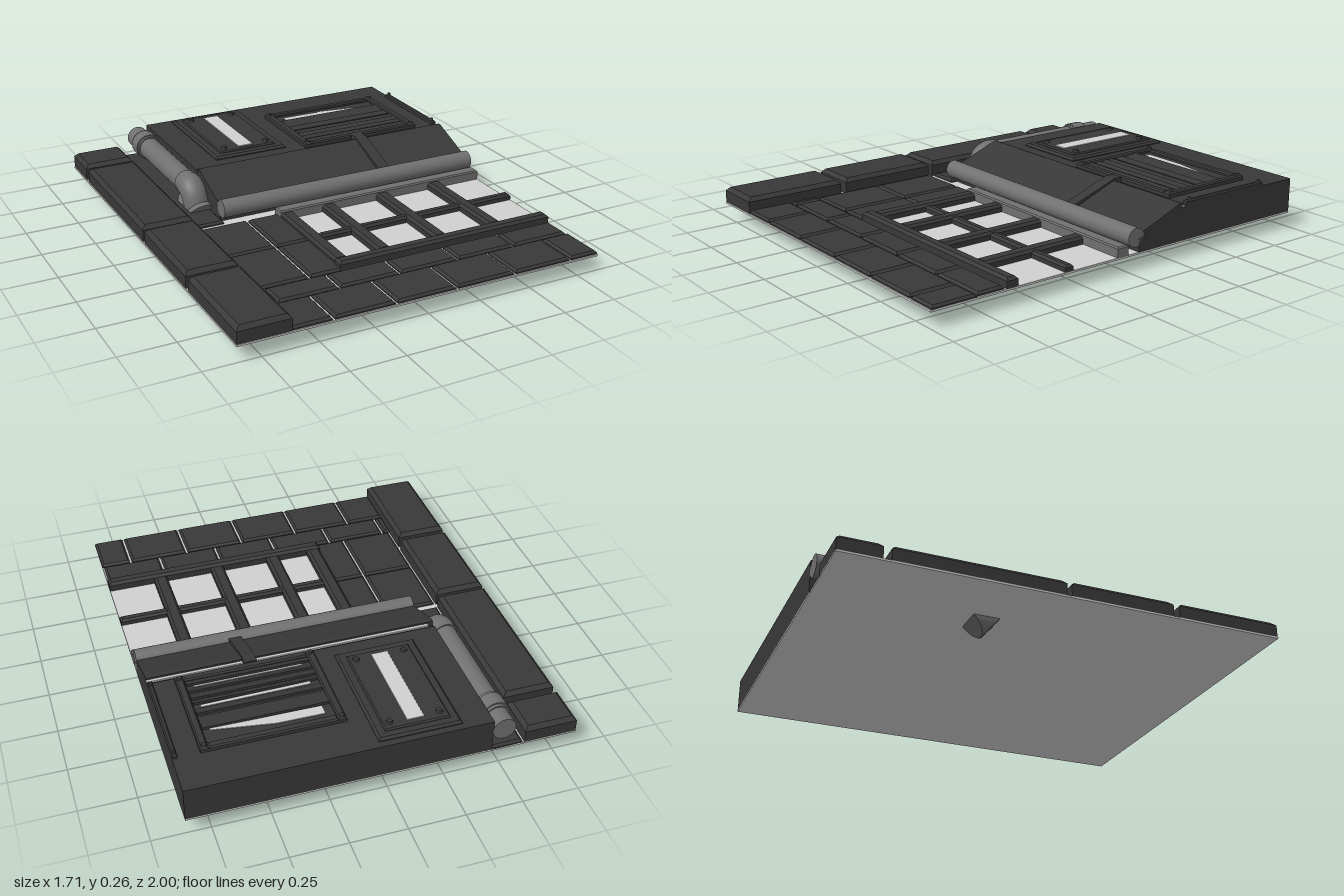
import * as THREE from 'three';

const mat = (name, color) => Object.assign(new THREE.MeshStandardMaterial({ color }), { name });

export function createModel() {
  const root = new THREE.Group();
  root.name = 'facadePanel';
  const dark = mat('darkStone', 0x383838);
  const metal = mat('pipeMetal', 0x707070);
  const pale = mat('paleBacking', 0xd0d0d0);

  const add = (name, geo, material, parent = root) => {
    const m = new THREE.Mesh(geo, material);
    m.name = name;
    parent.add(m);
    return m;
  };
  const group = (name) => {
    const g = new THREE.Group();
    g.name = name;
    root.add(g);
    return g;
  };

  // Block between two corners, with its top edge chamfered by b
  const slab = (name, x0, x1, z0, z1, y0, y1, b, material, parent) => {
    const w = x1 - x0, d = z1 - z0, h = y1 - y0;
    const box = new THREE.BoxGeometry(w, h, d, 1, 2, 1);
    const p = box.attributes.position;
    for (let i = 0; i < p.count; i++) {
      const y = p.getY(i);
      if (Math.abs(y) < 1e-6) p.setY(i, h / 2 - b);
      else if (y > 0) {
        p.setX(i, p.getX(i) - Math.sign(p.getX(i)) * b);
        p.setZ(i, p.getZ(i) - Math.sign(p.getZ(i)) * b);
      }
    }
    const geo = box.toNonIndexed();
    geo.computeVertexNormals();
    geo.translate((x0 + x1) / 2, (y0 + y1) / 2, (z0 + z1) / 2);
    return add(name, geo, material, parent);
  };

  // Side profile given as [z, y], extruded along x
  const profile = (name, pts, x0, x1, material, parent) => {
    const shape = new THREE.Shape(pts.map(([z, y]) => new THREE.Vector2(-z, y)));
    const geo = new THREE.ExtrudeGeometry(shape, { depth: x1 - x0, bevelEnabled: false });
    geo.rotateY(Math.PI / 2).translate(x0, 0, 0);
    return add(name, geo, material, parent);
  };

  // Rectangular ring lying flat
  const ring = (name, x0, x1, z0, z1, t, y0, y1, parent) => {
    const b = 0.006;
    slab(name, x0, x0 + t, z0, z1, y0, y1, b, dark, parent);
    slab(name, x1 - t, x1, z0, z1, y0, y1, b, dark, parent);
    slab(name, x0 + t, x1 - t, z0, z0 + t, y0, y1, b, dark, parent);
    slab(name, x0 + t, x1 - t, z1 - t, z1, y0, y1, b, dark, parent);
  };

  const bolts = (xs, zs, y, r, parent) => {
    for (const x of xs) for (const z of zs) {
      add('bolt', new THREE.CylinderGeometry(r * 0.7, r, 0.014, 8).translate(x, y, z), dark, parent);
    }
  };

  // Backing sheet
  slab('backingPlate', -0.855, 0.855, -1, 1, 0.068, 0.077, 0.001, pale);

  // Tall corner stones
  const corner = group('cornerStones');
  for (const [a, b] of [[-1, -0.807], [-0.772, -0.015], [0.006, 0.484], [0.512, 0.998]])
    slab('cornerStone', -0.853, -0.615, a, b, 0.077, 0.15, 0.018, dark, corner);

  // Shallow bricks
  const bricks = group('bricks');
  const brick = (x0, x1, z0, z1) => slab('brick', x0, x1, z0, z1, 0.074, 0.092, 0.01, dark, bricks);
  brick(-0.605, -0.46, -1, -0.025);
  for (const [z0, z1] of [[0.008, 0.315], [0.322, 0.64]]) {
    brick(-0.605, -0.366, z0, z1);
    brick(-0.355, -0.2, z0, z1);
  }
  const row = (start, z0, z1) => {
    for (let x = start; x < 0.85; x += 0.286)
      brick(Math.max(x, -0.62), Math.min(x + 0.275, 0.855), z0, z1);
  };
  row(-0.857, 0.65, 0.777);
  row(-0.714, 0.786, 0.995);

  // Window with bars
  const win = group('window');
  slab('lintel', -0.215, 0.855, 0, 0.06, 0.074, 0.122, 0.006, metal, win);
  slab('sill', -0.215, 0.855, 0.583, 0.64, 0.074, 0.12, 0.012, dark, win);
  for (const x of [-0.212, 0, 0.285, 0.57])
    slab('verticalBar', x, x + 0.065, 0.05, 0.59, 0.074, 0.112, 0.012, dark, win);
  slab('crossBar', -0.15, 0.855, 0.3, 0.342, 0.074, 0.106, 0.01, dark, win);

  // Raised upper wall with sloping ledge
  const wall = group('upperWall');
  profile('wallBlock', [[-1, 0.075], [-0.06, 0.075], [-0.06, 0.13], [-0.32, 0.225], [-0.33, 0.232], [-1, 0.232]],
    -0.465, 0.855, dark, wall);
  profile('slopingLedge', [[-0.055, 0.13], [-0.045, 0.152], [-0.295, 0.247], [-0.308, 0.245], [-0.308, 0.215]],
    -0.465, 0.855, dark, wall);
  slab('ledgeGap', -0.44, 0.855, -0.322, -0.306, 0.228, 0.236, 0.001, pale, wall);
  profile('ledgeStrap', [[-0.07, 0.15], [-0.07, 0.178], [-0.3, 0.256], [-0.345, 0.256], [-0.345, 0.225], [-0.3, 0.225]],
    0.37, 0.428, dark, wall);

  // Gutter pipe
  add('gutterPipe', new THREE.CylinderGeometry(0.043, 0.043, 1.32, 20)
    .rotateZ(Math.PI / 2).translate(0.195, 0.145, -0.043), metal);

  // Hatch with a narrow slot
  const hatch = group('slotHatch');
  slab('hatchBase', -0.335, 0.032, -0.97, -0.394, 0.225, 0.246, 0.01, dark, hatch);
  slab('hatchPlate', -0.296, -0.008, -0.932, -0.433, 0.24, 0.254, 0.006, dark, hatch);
  slab('hatchSlot', -0.19, -0.114, -0.902, -0.46, 0.25, 0.257, 0.001, pale, hatch);
  bolts([-0.261, -0.041], [-0.89, -0.472], 0.256, 0.018, hatch);

  // Louvred vent
  const vent = group('vent');
  slab('ventBase', 0.115, 0.738, -0.81, -0.345, 0.225, 0.24, 0.004, dark, vent);
  ring('ventFrame', 0.115, 0.738, -0.812, -0.343, 0.036, 0.23, 0.254, vent);
  bolts([0.134, 0.719], [-0.794, -0.361], 0.254, 0.016, vent);
  for (const [z0, z1] of [[-0.692, -0.61], [-0.598, -0.56], [-0.532, -0.508], [-0.5, -0.465], [-0.455, -0.43], [-0.408, -0.378]])
    profile('ventSlat', [[z0, 0.236], [z1, 0.236], [z1, 0.244], [z0, 0.252]], 0.152, 0.7, dark, vent);
  const slit = (pts) => {
    const shape = new THREE.Shape(pts.map(([x, z]) => new THREE.Vector2(x, -z)));
    const geo = new THREE.ExtrudeGeometry(shape, { depth: 0.004, bevelEnabled: false });
    add('ventSlit', geo.rotateX(-Math.PI / 2).translate(0, 0.239, 0), pale, vent);
  };
  slit([[0.19, -0.7], [0.67, -0.692], [0.67, -0.702], [0.4, -0.745], [0.19, -0.748]]);
  slit([[0.19, -0.533], [0.67, -0.542], [0.67, -0.554], [0.19, -0.55]]);
  slit([[0.19, -0.412], [0.67, -0.412], [0.67, -0.42], [0.19, -0.42]]);

  // Neighbouring vent, cut off by the panel edge
  slab('edgeVent', 0.832, 0.855, -0.812, -0.335, 0.225, 0.252, 0.006, dark);
  bolts([0.844], [-0.794, -0.361], 0.254, 0.011, root);

  // Downpipe with collar and elbow
  const down = group('downpipe');
  const px = -0.515, py = 0.178;
  const along = (name, r, z0, z1) => add(name, new THREE.CylinderGeometry(r, r, z1 - z0, 20)
    .rotateX(Math.PI / 2).translate(px, py, (z0 + z1) / 2), metal, down);
  along('pipe', 0.052, -1, -0.28);
  along('collar', 0.064, -0.905, -0.835);
  along('collarLip', 0.058, -0.92, -0.82);
  along('elbowCollar', 0.058, -0.34, -0.3);
  const bend = new THREE.QuadraticBezierCurve3(
    new THREE.Vector3(px, py, -0.31), new THREE.Vector3(px, py, -0.235), new THREE.Vector3(px + 0.01, 0.08, -0.235));
  add('elbow', new THREE.TubeGeometry(bend, 12, 0.06, 20), metal, down);

  // Mitred pipe end poking out below: both ends cut at a slant
  const nub = new THREE.CylinderGeometry(0.066, 0.066, 2, 24).rotateX(Math.PI / 2).translate(-0.502, 0.066, 0);
  const q = nub.attributes.position;
  for (let i = 0; i < q.count; i++) q.setZ(i, -0.255 + Math.sign(q.getZ(i)) * 0.88 * Math.max(q.getY(i), 0));
  const nubFlat = nub.toNonIndexed();
  nubFlat.computeVertexNormals();
  add('pipeEnd', nubFlat, metal, down);

  return root;
}
